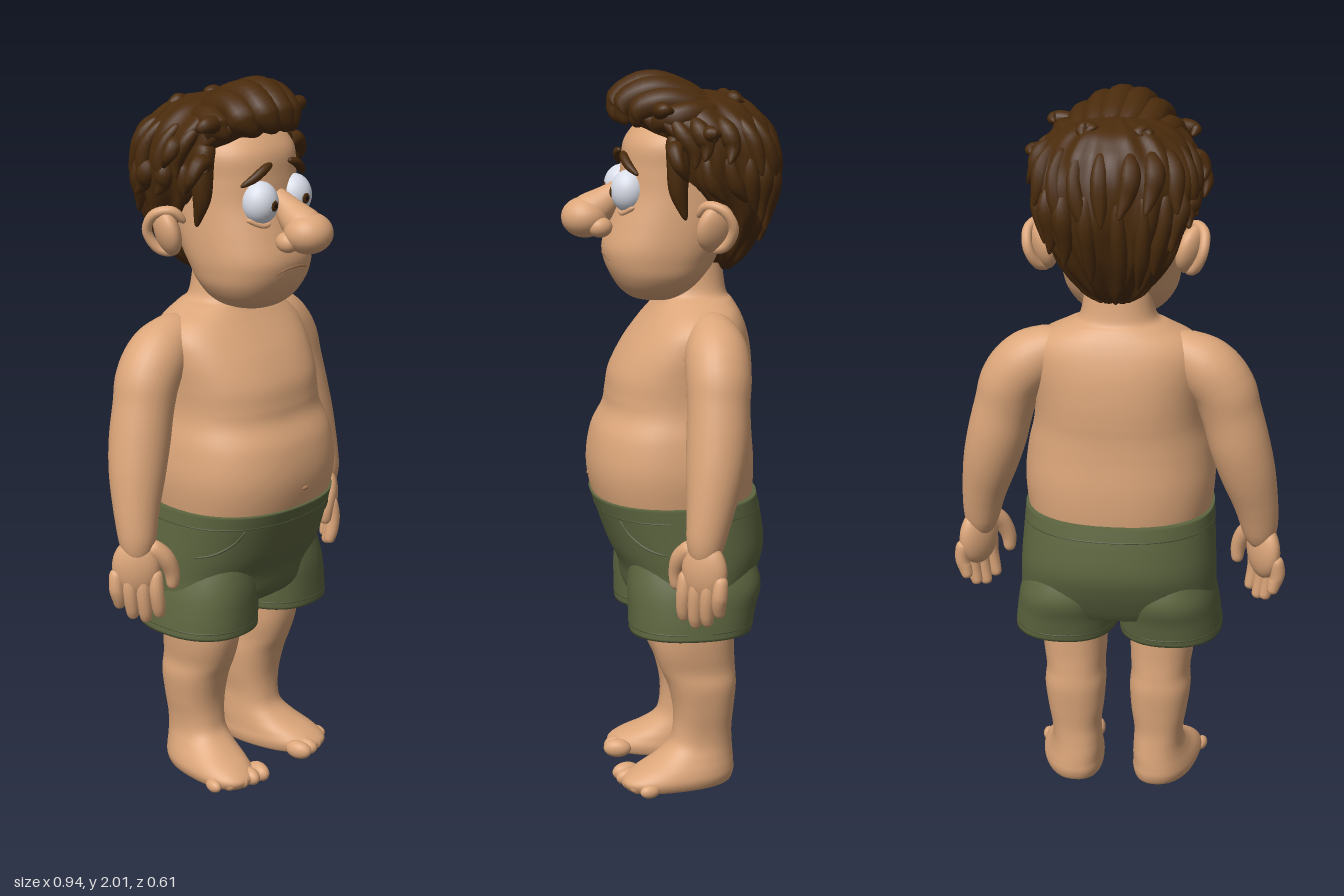
import * as THREE from 'three';

const mat = (name, color) => {
  const m = new THREE.MeshStandardMaterial({ color });
  m.name = name;
  return m;
};

// closed rings joined into a skin, with a centre point closing each end
function skinRings(rings, flip) {
  const n = rings[0].length, pos = [], idx = [];
  const tri = (a, b, c) => (flip ? idx.push(a, c, b) : idx.push(a, b, c));
  rings.forEach(r => r.forEach(p => pos.push(p.x, p.y, p.z)));
  for (let j = 0; j < rings.length - 1; j++) for (let i = 0; i < n; i++) {
    const a = j * n + i, b = j * n + (i + 1) % n;
    tri(a, a + n, b);
    tri(b, a + n, b + n);
  }
  [0, rings.length - 1].forEach(j => {
    const c = rings[j].reduce((s, p) => s.add(p), new THREE.Vector3()).divideScalar(n);
    const k = pos.length / 3;
    pos.push(c.x, c.y, c.z);
    for (let i = 0; i < n; i++) {
      const a = j * n + i, b = j * n + (i + 1) % n;
      j ? tri(a, k, b) : tri(a, b, k);
    }
  });
  const g = new THREE.BufferGeometry();
  g.setAttribute('position', new THREE.Float32BufferAttribute(pos, 3));
  g.setIndex(idx);
  g.computeVertexNormals();
  return g;
}

// smooth interpolation through rows of numbers
function rowAt(rows, t) {
  const k = Math.min(Math.floor(t), rows.length - 2), f = t - k;
  const r = i => rows[Math.max(0, Math.min(rows.length - 1, i))];
  return rows[0].map((_, c) => {
    const a = r(k - 1)[c], b = r(k)[c], d = r(k + 1)[c], e = r(k + 2)[c];
    return b + 0.5 * f * (d - a + f * (2 * a - 5 * b + 4 * d - e + f * (3 * (b - d) + e - a)));
  });
}

// point on a body section: [y, front z, back z, half width, centre x, outward skew]
function onSection([y, front, back, w, cx = 0, skew = 0], a, grow = 0) {
  const c = Math.cos(a), s = Math.sin(a), pw = v => Math.sign(v) * Math.abs(v) ** 0.87;
  const z = (front + back) / 2 + ((front - back) / 2 + grow) * pw(s);
  return new THREE.Vector3(cx + (w + grow) * pw(c) + skew * z, y, z);
}

function loft(rows, { n = 48, steps = 6, bump = () => 0 } = {}) {
  const rings = [], count = (rows.length - 1) * steps;
  for (let j = 0; j <= count; j++) {
    const row = rowAt(rows, j / steps), ring = [];
    for (let i = 0; i < n; i++) {
      const a = i / n * Math.PI * 2;
      ring.push(onSection(row, a, bump(a, row[0])));
    }
    rings.push(ring);
  }
  return skinRings(rings, false);
}

// point on a lofted surface at a given height
function surf(rows, y, a, grow = 0) {
  let lo = 0, hi = rows.length - 1;
  for (let i = 0; i < 24; i++) {
    const m = (lo + hi) / 2;
    rowAt(rows, m)[0] < y ? (lo = m) : (hi = m);
  }
  return onSection(rowAt(rows, lo), a, grow);
}

// round-ended tube through points [x, y, z, radius]
function limb(pts, n = 16, steps = 8) {
  const curve = new THREE.CatmullRomCurve3(pts.map(p => new THREE.Vector3(p[0], p[1], p[2])));
  const count = (pts.length - 1) * steps, fr = curve.computeFrenetFrames(count), rings = [];
  for (let j = 0; j <= count; j++) {
    const t = (1 - Math.cos(j / count * Math.PI)) / 2, f = Math.round(t * count);
    const c = curve.getPoint(t), r = rowAt(pts, t * (pts.length - 1))[3];
    const R = Math.max(r * Math.sqrt(Math.max(0, 1 - Math.abs(2 * t - 1) ** 12)), 0.0005);
    rings.push(Array.from({ length: n }, (_, i) => {
      const a = i / n * Math.PI * 2;
      return c.clone().addScaledVector(fr.normals[f], R * Math.cos(a)).addScaledVector(fr.binormals[f], R * Math.sin(a));
    }));
  }
  return skinRings(rings, true);
}

export function createModel() {
  const root = new THREE.Group();
  const skin = mat('skin', 0xdca67a), crease = mat('skin crease', 0xb07e57);
  const hair = mat('brown hair', 0x4a2b0c), green = mat('green cloth', 0x5d6640);
  const seam = mat('dark green seam', 0x525a38), white = mat('eye white', 0xdfe3ee), black = mat('pupil black', 0x120c08);
  const add = (name, geo, m) => {
    const o = new THREE.Mesh(geo, m);
    o.name = name;
    root.add(o);
  };
  const ball = (name, m, p, s, ry = 0, rz = 0) => {
    const o = new THREE.Mesh(new THREE.SphereGeometry(1, 28, 18), m);
    o.name = name;
    o.position.set(...p);
    o.scale.set(...s);
    o.rotation.set(0, ry, rz);
    root.add(o);
  };
  const strip = (name, m, pts, r) => add(name, limb(pts.map(p => [p.x, p.y, p.z, r]), 6, 6), m);
  const F = Math.PI / 2;

  // torso and neck
  const torso = [[.76, .19, -.21, .24], [.84, .222, -.225, .258], [.93, .236, -.228, .267], [1.02, .222, -.222, .257],
    [1.085, .19, -.22, .241], [1.13, .182, -.222, .236], [1.19, .17, -.222, .238], [1.26, .132, -.215, .243],
    [1.315, .09, -.202, .238], [1.355, .057, -.186, .205], [1.385, .035, -.168, .145], [1.41, .03, -.152, .104], [1.5, .03, -.14, .09]];
  add('torso', loft(torso), skin);
  ball('navel', crease, [0, .895, .233], [.012, .006, .005]);

  // shorts
  const hips = [[.55, .12, -.2, .25], [.58, .138, -.217, .275], [.64, .15, -.243, .277], [.7, .178, -.258, .275], [.78, .207, -.25, .27], [.845, .229, -.237, .266]];
  add('shortsHips', loft(hips), green);
  const ringAt = (rows, y, grow) => Array.from({ length: 49 }, (_, i) => surf(rows, y, i / 48 * Math.PI * 2, grow));
  strip('waistSeam', seam, ringAt(hips, .805, -.002), .003);

  // head
  const head = [[1.385, .085, -.01, .045], [1.395, .115, -.04, .085], [1.42, .145, -.07, .122], [1.46, .17, -.1, .15],
    [1.5, .185, -.125, .161], [1.54, .188, -.15, .166], [1.6, .17, -.18, .166], [1.68, .143, -.2, .163],
    [1.75, .135, -.2, .16], [1.82, .125, -.18, .155], [1.88, .08, -.14, .11]];
  add('head', loft(head), skin);
  add('noseBridge', limb([[0, 1.71, .1, .026], [0, 1.672, .155, .036], [0, 1.637, .205, .05], [0, 1.615, .25, .05]], 24), skin);
  ball('noseTip', skin, [0, 1.613, .235], [.068, .056, .066]);
  strip('mouth', crease, [-.36, -.18, 0, .18, .36].map(d => surf(head, 1.513 - d * d * .1, F + d, -.002)), .004);

  // hair mass, with gentle grooves
  const mane = [[1.465, -.11, -.165, .035], [1.5, -.08, -.2, .09], [1.58, -.07, -.245, .145], [1.65, -.03, -.268, .178],
    [1.72, .025, -.284, .204], [1.8, .04, -.28, .214], [1.86, .09, -.262, .202], [1.9, .11, -.235, .176],
    [1.935, .09, -.19, .125], [1.952, .03, -.1, .04]];
  add('hairMass', loft(mane, { n: 120, bump: (a, y) => .005 * Math.sin(11 * a + 14 * y) + .004 * Math.sin(17 * a - 22 * y) }), hair);
  // locks draped over the sides and back, with tousled tips
  for (let row = 0; row < 2; row++) for (let i = 0; i < 13; i++) {
    const a = .5 - (i + row * .5) / 12.5 * (Math.PI + 1), back = Math.max(0, -Math.sin(a)), v = Math.sin(i * 7.3 + row * 4.1);
    const top = row ? 1.79 : 1.89, end = (row ? 1.69 - .16 * back : 1.76 - .05 * back) + .025 * v;
    add('hairLock', limb([0, .33, .66, 1].map((f, k) => {
      const p = surf(mane, top + (end - top) * f, a + .2 * v * f * f, [-.012, -.004, -.002, .016 + .006 * v][k]);
      return [p.x, p.y, p.z, [.016, .024 + .005 * v, .022, .007][k]];
    }), 10, 5), hair);
  }
  // swept fringe, highest in the middle and curling to one side
  for (let i = -3; i <= 3; i++) {
    const x = i * .046, q = (i / 3) ** 2, v = Math.sin(i * 5.7 + 1), r = .04 + .006 * v;
    add('fringeLock', limb([[x * .7 + .03, 1.9, -.12, .025], [x * .95 + .015, 1.938 - .04 * q, -.03, r],
      [x + .005, 1.958 - .065 * q + .008 * v, .07 - .05 * q, r], [x * .95 - .01, 1.915 - .035 * q, .145 - .095 * q, r * .9],
      [x * .95 + .035 * v, 1.862 + .012 * v, .14 - .09 * q, .014]], 14), hair);
  }
  // loose curls standing off the outline
  [[.13, 1.9, .04, .06, .03], [-.14, 1.89, .03, -.055, .015], [.19, 1.84, -.08, .04, .03], [-.19, 1.83, -.06, -.04, -.03],
    [.05, 1.92, -.17, .03, .02], [-.06, 1.915, -.17, -.03, .015], [.17, 1.8, .01, .055, -.05], [-.17, 1.79, .02, -.06, -.05]]
    .forEach(([x, y, z, dx, dy]) => add('curl', limb([[x, y, z, .026], [x + dx * .5, y + .012, z + .01, .024],
      [x + dx, y + dy * .5, z + .005, .018], [x + dx * .9, y + dy - .02, z - .02, .007]], 12), hair));

  for (const s of [1, -1]) {
    const side = s > 0 ? 'left' : 'right';
    const part = (name, pts, m = skin, n = 16) => add(side + name, limb(pts.map(([x, ...r]) => [x * s, ...r]), n), m);
    const lump = (name, m, p, sc, ry = 0, rz = 0) => ball(side + name, m, [p[0] * s, p[1], p[2]], sc, ry * s, rz * s);

    // eyes and brows
    lump('Eye', white, [.069, 1.69, .124], [.051, .058, .05]);
    lump('Iris', hair, [.065, 1.687, .171], [.014, .015, .005]);
    lump('Pupil', black, [.065, 1.687, .174], [.006, .007, .003]);
    part('EyeBag', [[.025, 1.645, .138, .007], [.07, 1.63, .143, .009], [.115, 1.65, .118, .007]]);
    part('Brow', [[.035, 1.79, .134, .007], [.06, 1.783, .137, .012], [.095, 1.76, .128, .012], [.128, 1.738, .108, .006]], hair, 12);
    lump('Nostril', skin, [.045, 1.59, .2], [.028, .028, .034]);

    // ear with a raised rim
    lump('Ear', skin, [.2, 1.602, -.09], [.032, .068, .058], .45, -.25);
    part('EarRim', [[.178, 1.63, -.045, .012], [.208, 1.662, -.065, .014], [.236, 1.652, -.105, .014], [.235, 1.605, -.132, .014],
      [.212, 1.555, -.115, .014], [.185, 1.54, -.08, .014]], skin, 12);
    part('Sideburn', [[.152, 1.85, .01, .03], [.165, 1.77, .005, .032], [.166, 1.7, .005, .026], [.166, 1.62, -.015, .009]], hair, 12);

    // arm growing out of the shoulder slope
    part('Arm', [[.1, 1.325, -.083, .045], [.17, 1.312, -.085, .066], [.24, 1.275, -.085, .085], [.29, 1.215, -.083, .088], [.315, 1.14, -.078, .084],
      [.338, 1.05, -.072, .084], [.362, .96, -.06, .077], [.386, .86, -.042, .062], [.396, .79, -.03, .053], [.402, .72, -.026, .044]], skin, 28);
    lump('Palm', skin, [.408, .715, -.025], [.066, .085, .036], .91);
    for (let k = 0; k < 4; k++) {
      const x = .378 + .023 * k, z = .02 - .028 * k, drop = [.57, .555, .565, .595][k];
      part('Finger', [[x, .71, z, .02], [x + .004, .65, z + .006, .021], [x - .004, drop + .03, z + .006, .019], [x - .012, drop, z + .002, .015]], skin, 12);
    }
    part('Thumb', [[.385, .78, .0, .026], [.352, .74, .028, .027], [.333, .695, .038, .022], [.33, .645, .038, .017]], skin, 12);

    // trouser leg, hem and pocket
    const leg = [[.477, .14, -.203, .146, .15 * s], [.54, .142, -.215, .143, .146 * s], [.61, .142, -.23, .135, .14 * s], [.7, .13, -.2, .11, .13 * s]];
    add(side + 'ShortsLeg', loft(leg), green);
    strip(side + 'Hem', seam, ringAt(leg, .497, -.002), .003);
    strip(side + 'Pocket', seam, [[.8, .9], [.765, .82], [.73, .6], [.715, .35]].map(([y, a]) => surf(hips, y, s > 0 ? a : Math.PI - a, -.001)), .004);

    // leg running into a foot turned slightly outward
    add(side + 'LegAndFoot', loft([[.006, .14, -.14, .07, .137, .14], [.012, .155, -.153, .083, .138, .14], [.035, .162, -.162, .09, .139, .14],
      [.06, .13, -.162, .086, .137, .13], [.09, .07, -.16, .078, .13, .1], [.125, .025, -.157, .071, .122, .04],
      [.17, .012, -.155, .071, .12, 0], [.23, .012, -.16, .08, .121, 0], [.3, .028, -.166, .087, .123, 0], [.35, .05, -.163, .084, .123, 0],
      [.4, .066, -.16, .089, .125, 0], [.45, .074, -.16, .092, .127, 0], [.56, .08, -.16, .094, .13, 0]]
      .map(([y, f, b, w, cx, k]) => [y, f, b, w, cx * s, k * s])), skin);
    for (let k = 0; k < 5; k++) {
      const r = .027 - .002 * k;
      lump('Toe', skin, [.09 + .035 * k, r + .003, .143 - .003 * k * k], [r * .9, r, r * 1.5], .2);
    }
  }
  return root;
}
